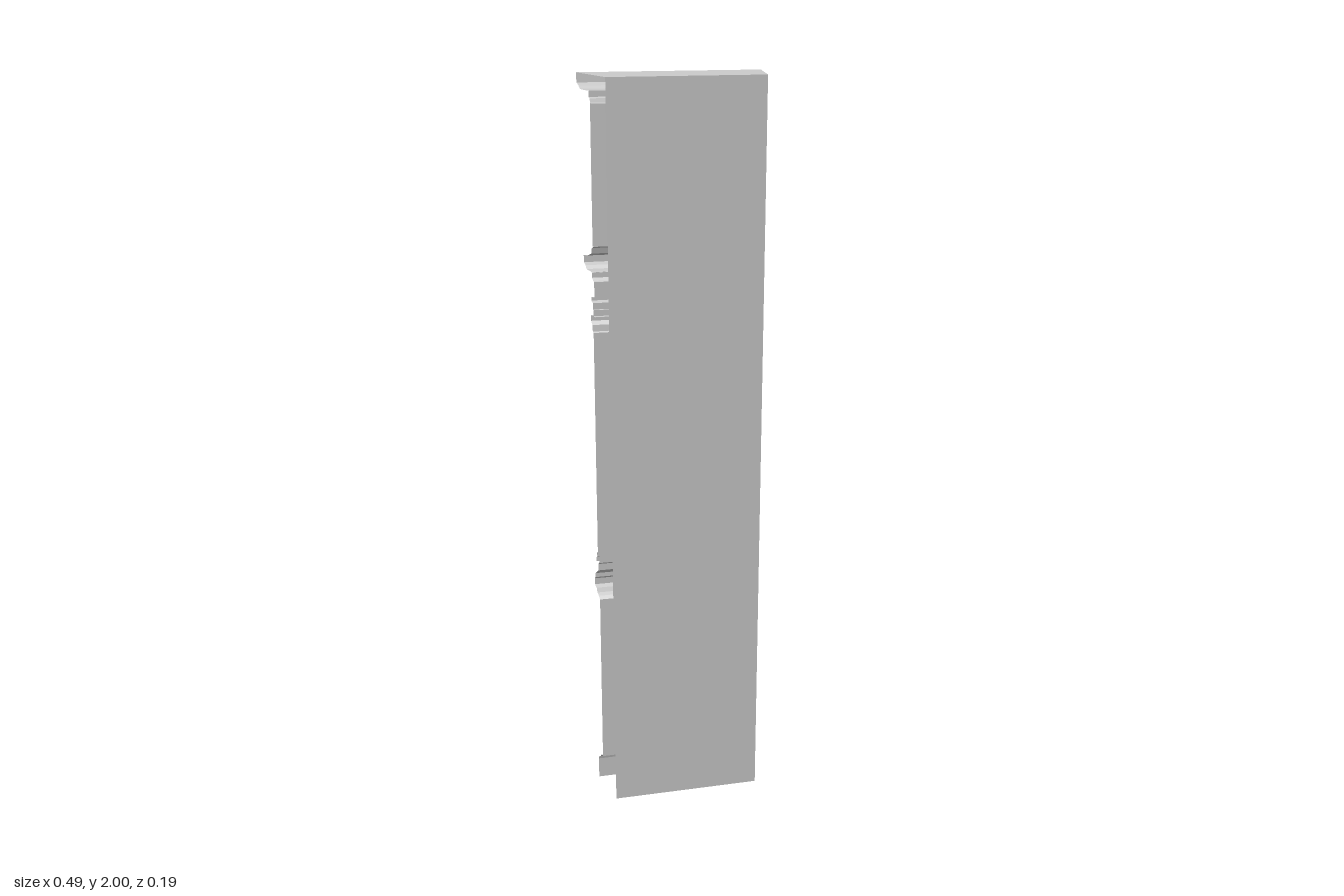
import * as THREE from 'three';

const mat = new THREE.MeshStandardMaterial({ color: 0xcccccc, side: THREE.DoubleSide, flatShading: true });
const NICHE = { r: 0.08, bottom: 0.77, spring: 1.16, depth: 0.028 };

// the wall bay is a wedge: its side edges slant with depth
const edge = (z) => 0.225 - 0.2 * z;

export function createModel() {
  const group = new THREE.Group();

  const add = (name, geometry) => {
    const mesh = new THREE.Mesh(geometry, mat);
    mesh.name = name;
    group.add(mesh);
    return mesh;
  };

  // sheet that follows a [z, y] profile listed top to bottom, between two x limits
  const strip = (name, profile, xa = edge, xb = (z) => -edge(z)) => {
    const pos = [];
    for (let i = 0; i < profile.length - 1; i++) {
      const [z0, y0] = profile[i], [z1, y1] = profile[i + 1];
      const a = [xa(z0), y0, z0], b = [xa(z1), y1, z1], c = [xb(z1), y1, z1], d = [xb(z0), y0, z0];
      pos.push(...a, ...b, ...c, ...a, ...c, ...d);
    }
    const g = new THREE.BufferGeometry();
    g.setAttribute('position', new THREE.Float32BufferAttribute(pos, 3));
    g.computeVertexNormals();
    return add(name, g);
  };

  // outlines
  const rect = (w, y0, y1, C = THREE.Shape) =>
    new C([[-w, y0], [w, y0], [w, y1], [-w, y1]].map((p) => new THREE.Vector2(...p)));
  const arch = (r, y0, C = THREE.Shape) => {
    const s = new C();
    s.moveTo(-r, y0);
    s.lineTo(r, y0);
    s.lineTo(r, NICHE.spring);
    s.absarc(0, NICHE.spring, r, 0, Math.PI, false);
    s.closePath();
    return s;
  };

  // flat sheet and raised slab, both facing -z
  const sheet = (name, shape, z = 0) =>
    add(name, new THREE.ShapeGeometry(shape, 16).rotateY(Math.PI).translate(0, 0, z));
  const slab = (name, shape, depth) =>
    add(name, new THREE.ExtrudeGeometry(shape, { depth, bevelEnabled: false, curveSegments: 16 }).rotateY(Math.PI));

  const box = (name, w, h, d, x, y, z) => add(name, new THREE.BoxGeometry(w, h, d).translate(x, y, z));

  // plain front sheet and roof
  strip('frontPanel', [[0.097, 2], [0.097, 0]], (z) => -edge(z), edge);
  strip('topCover', [[0.097, 2], [-0.098, 2]]);

  // horizontal mouldings
  strip('topCornice', [[-0.098, 2], [-0.096, 1.975], [-0.09, 1.973], [-0.082, 1.968], [-0.074, 1.961],
    [-0.064, 1.96], [-0.015, 1.96], [-0.015, 1.945], [-0.008, 1.942], [-0.005, 1.932], [0, 1.93]]);
  strip('upperWall', [[0, 1.93], [0, 1.57]]);
  strip('middleCornice', [[0, 1.57], [-0.012, 1.565], [-0.016, 1.55], [-0.045, 1.54], [-0.07, 1.537], [-0.07, 1.518],
    [-0.058, 1.512], [-0.052, 1.503], [-0.025, 1.502], [-0.014, 1.5], [-0.014, 1.487], [-0.006, 1.48], [0, 1.478]]);
  strip('frieze', [[0, 1.478], [0, 1.438]]);
  strip('architrave', [[0, 1.438], [-0.022, 1.434], [-0.022, 1.425], [-0.012, 1.42], [-0.012, 1.403],
    [-0.008, 1.402], [-0.008, 1.386], [0, 1.385]]);
  strip('dadoMoulding', [[0, 0.692], [-0.008, 0.684], [-0.008, 0.665], [-0.02, 0.655], [-0.03, 0.648], [-0.03, 0.636],
    [-0.036, 0.63], [-0.036, 0.612], [-0.024, 0.606], [-0.018, 0.594], [-0.008, 0.588], [0, 0.58]]);
  strip('lowerWall', [[0, 0.58], [0, 0.085]]);
  strip('skirting', [[0, 0.088], [-0.01, 0.085], [-0.018, 0.075], [-0.03, 0.068], [-0.032, 0.06], [-0.032, 0]]);

  // brackets and dentils under the cornices
  for (let i = 0; i < 8; i++) box('bracket', 0.022, 0.015, 0.045, (i - 3.5) * 0.055, 1.9525, -0.0375);
  for (let i = 0; i < 26; i++) box('dentil', 0.008, 0.009, 0.012, (i - 12.5) * 0.017, 1.497, -0.02);
  for (let i = 0; i < 12; i++) box('peg', 0.005, 0.005, 0.004, (i - 5.5) * 0.028, 1.396, -0.009);

  // pilasters: slanted outer edge open, inner side closed
  const pilaster = (name, profile, inner) => {
    for (const s of [1, -1]) {
      const xs = [(z) => s * edge(z), () => s * inner];
      strip(name, profile, ...(s > 0 ? xs : xs.reverse()));
      const pts = [[0, profile[0][1]], ...profile, [0, profile.at(-1)[1]]];
      const side = new THREE.Shape(pts.map(([z, y]) => new THREE.Vector2(-z, y)));
      add(name + 'Side', new THREE.ShapeGeometry(side).rotateY(Math.PI / 2).translate(s * inner, 0, 0));
    }
  };
  pilaster('upperPilaster', [[-0.006, 1.932], [-0.006, 1.57]], 0.187);
  pilaster('pilasterCapital', [[0, 1.386], [-0.026, 1.385], [-0.026, 1.37], [-0.018, 1.36], [-0.016, 1.343],
    [-0.012, 1.34], [-0.012, 1.325]], 0.179);
  pilaster('pilasterShaft', [[-0.01, 1.325], [-0.01, 0.715]], 0.187);
  pilaster('pilasterBase', [[-0.01, 0.72], [-0.015, 0.712], [-0.015, 0.704], [-0.02, 0.7], [-0.02, 0.688]], 0.181);

  // framed panel on the upper wall
  const frame = rect(0.145, 1.615, 1.905);
  frame.holes.push(rect(0.132, 1.628, 1.892, THREE.Path));
  slab('upperPanelFrame', frame, 0.005);

  // half-round ornament on the frieze
  for (const [r, d] of [[0.034, 0.003], [0.024, 0.006]]) {
    const half = new THREE.Shape();
    half.absarc(0, 1.438, r, 0, Math.PI, false);
    slab('friezeOrnament', half, d);
  }

  // middle wall with an arched niche
  const wall = rect(0.225, 0.69, 1.328);
  wall.holes.push(arch(NICHE.r, NICHE.bottom, THREE.Path));
  sheet('middleWall', wall);
  sheet('nicheBack', arch(NICHE.r, NICHE.bottom), NICHE.depth);
  const pts = arch(NICHE.r, NICHE.bottom).getPoints(16);
  const jamb = [];
  pts.forEach((p, i) => {
    const q = pts[(i + 1) % pts.length], d = NICHE.depth;
    jamb.push(p.x, p.y, 0, q.x, q.y, 0, q.x, q.y, d, p.x, p.y, 0, q.x, q.y, d, p.x, p.y, d);
  });
  const jambGeo = new THREE.BufferGeometry();
  jambGeo.setAttribute('position', new THREE.Float32BufferAttribute(jamb, 3));
  jambGeo.computeVertexNormals();
  add('nicheJamb', jambGeo);

  // stepped surround, keystone, sill and apron
  for (const [r, d] of [[0.1, 0.007], [0.09, 0.01]]) {
    const surround = arch(r, NICHE.bottom);
    surround.holes.push(arch(NICHE.r, NICHE.bottom + 0.0005, THREE.Path));
    slab('nicheSurround', surround, d);
  }
  const key = [[-0.014, 1.232], [0.014, 1.232], [0.02, 1.275], [-0.02, 1.275]];
  slab('keystone', new THREE.Shape(key.map((p) => new THREE.Vector2(...p))), 0.012);
  slab('sill', rect(0.12, 0.752, 0.77), 0.012);
  slab('sillMoulding', rect(0.108, 0.744, 0.752), 0.008);
  slab('apron', rect(0.065, 0.7, 0.744), 0.006);
  for (let i = -1; i <= 1; i++) box('apronPeg', 0.007, 0.007, 0.004, i * 0.04, 0.715, -0.008);

  return group;
}
